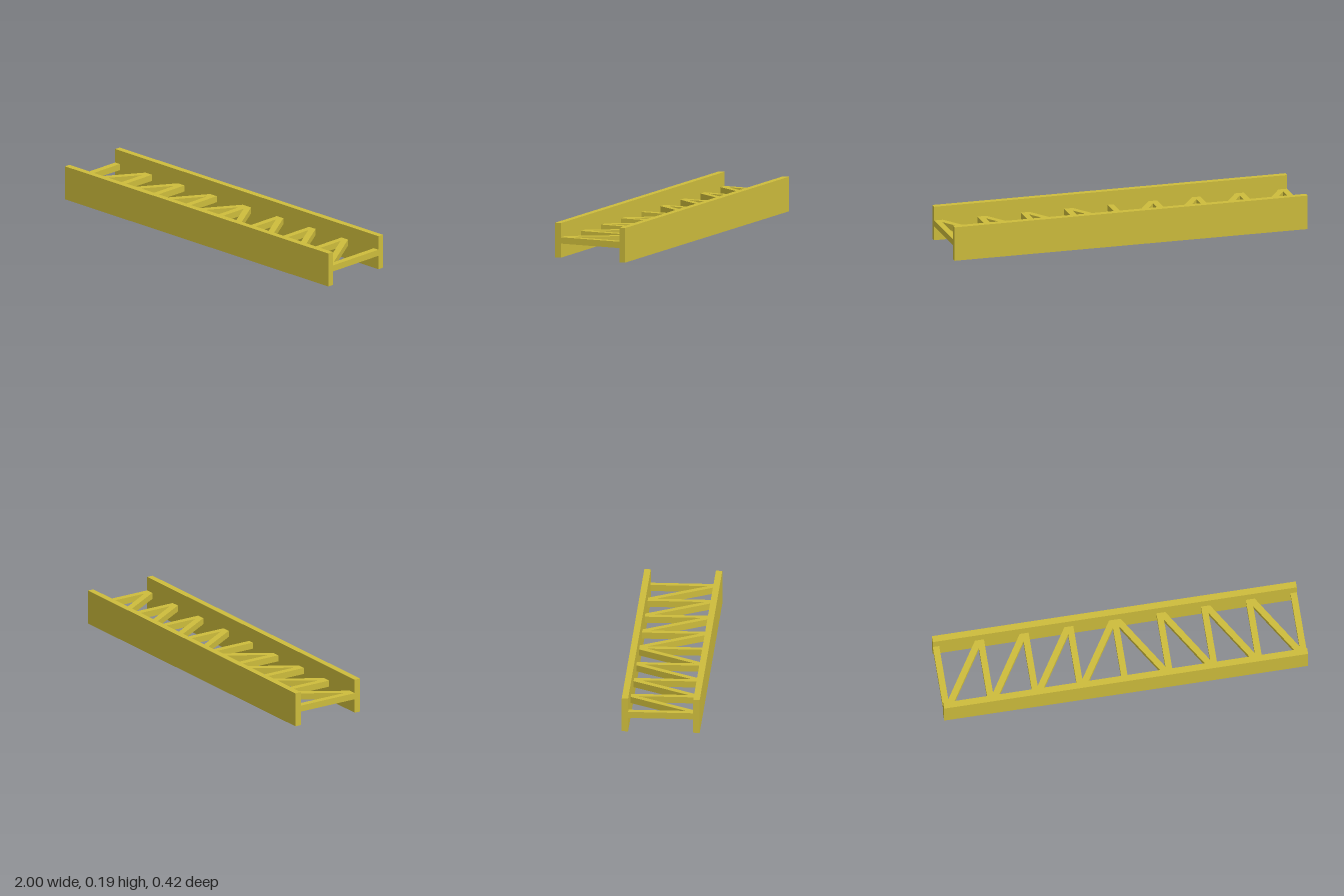
import * as THREE from 'three';

const LENGTH = 2, HEIGHT = 0.19, WIDTH = 0.424; // overall size
const T = 0.035;                                // member thickness
const BAYS = 8;

export function createModel() {
  const model = new THREE.Group();
  model.name = 'trussLadder';
  const material = new THREE.MeshStandardMaterial({ color: 0xcdbc3c, flatShading: true });

  const nodeZ = (WIDTH - T) / 2;   // chord centre line
  const innerZ = WIDTH / 2 - T;    // inner face of the chords
  const pitch = (LENGTH - T) / BAYS;

  // two upright side plates
  for (const [name, s] of [['frontRail', 1], ['backRail', -1]]) {
    const rail = new THREE.Mesh(new THREE.BoxGeometry(LENGTH, HEIGHT, T), material);
    rail.name = name;
    rail.position.set(0, HEIGHT / 2, s * nodeZ);
    model.add(rail);
  }

  // lattice between the rails: a plate with two triangular openings per bay
  const lattice = new THREE.Shape([
    new THREE.Vector2(-LENGTH / 2, -nodeZ), new THREE.Vector2(LENGTH / 2, -nodeZ),
    new THREE.Vector2(LENGTH / 2, nodeZ), new THREE.Vector2(-LENGTH / 2, nodeZ),
  ]);

  // opening between a post and the diagonal, relative to the bay centre
  const slope = pitch / (2 * nodeZ);
  const halfCut = (T / 2) * Math.hypot(1, slope);
  const postEdge = -pitch / 2 + T / 2;
  const triangle = [
    [postEdge, innerZ],
    [innerZ * slope - halfCut, innerZ],
    [postEdge, (postEdge + halfCut) / slope],
  ];

  // diagonals lean the other way on the right-hand half
  for (let i = 0; i < BAYS; i++) {
    const centre = (i + 0.5 - BAYS / 2) * pitch;
    const lean = centre < 0 ? 1 : -1;
    for (const s of [1, -1]) {
      lattice.holes.push(new THREE.Path(
        triangle.map(([x, y]) => new THREE.Vector2(centre + lean * s * x, s * y))));
    }
  }

  const geometry = new THREE.ExtrudeGeometry(lattice, { depth: T, bevelEnabled: false });
  geometry.rotateX(-Math.PI / 2);
  const web = new THREE.Mesh(geometry, material);
  web.name = 'latticeBracing';
  web.position.y = (HEIGHT - T) / 2;
  model.add(web);

  return model;
}
